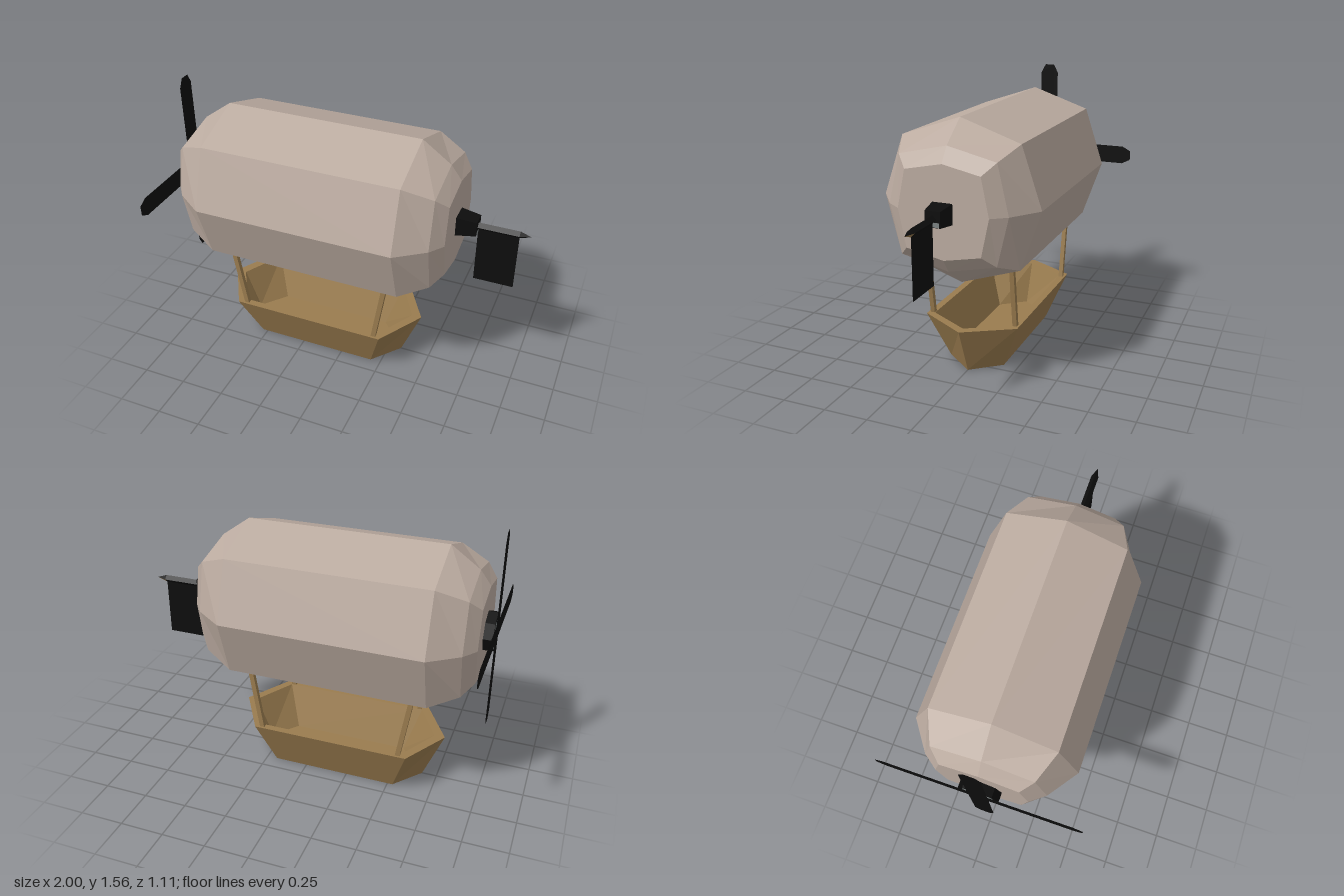
import * as THREE from 'three';

const mat = (name, color, side = THREE.FrontSide) => {
  const m = new THREE.MeshStandardMaterial({ color, flatShading: true, side });
  m.name = name;
  return m;
};

// Joins rings of points with quads and closes both ends
function loft(rings) {
  const pos = [];
  const tri = (a, b, c) => pos.push(...a, ...b, ...c);
  const n = rings[0].length;
  for (let k = 0; k < rings.length - 1; k++) {
    const A = rings[k], B = rings[k + 1];
    for (let i = 0; i < n; i++) {
      const j = (i + 1) % n;
      tri(A[i], A[j], B[j]);
      tri(A[i], B[j], B[i]);
    }
  }
  const S = rings[0], E = rings[rings.length - 1];
  for (let i = 1; i < n - 1; i++) {
    tri(S[0], S[i + 1], S[i]);
    tri(E[0], E[i], E[i + 1]);
  }
  const g = new THREE.BufferGeometry();
  g.setAttribute('position', new THREE.Float32BufferAttribute(pos, 3));
  g.computeVertexNormals();
  return g;
}

// Eight-sided ring round the long axis: a on the axes, d on the diagonals
const hullRing = (x, a, d) =>
  [[a, 0], [d, d], [0, a], [-d, d], [-a, 0], [-d, -d], [0, -a], [d, -d]].map(([y, z]) => [x, 1 + y, z]);

const squareRing = (x, h) => [[h, -h], [h, h], [-h, h], [-h, -h]].map(([y, z]) => [x, 1 + y, z]);

// Six-sided boat ring: pointed ends and straight sides
const boatRing = (y, back, backSide, frontSide, front, w) => [
  [front, y, 0], [frontSide, y, -w], [backSide, y, -w],
  [back, y, 0], [backSide, y, w], [frontSide, y, w],
];

export function createModel() {
  const model = new THREE.Group();
  const canvas = mat('canvas', 0xbbaba0);
  const wood = mat('wood', 0x9a7c4f);
  const black = mat('black', 0x0d0d0d);
  const blackSheet = mat('blackSheet', 0x0d0d0d, THREE.DoubleSide);
  const metal = mat('greyMetal', 0x7c8383);

  const add = (name, geo, material, parent = model) => {
    const m = new THREE.Mesh(geo, material);
    m.name = name;
    parent.add(m);
    return m;
  };

  // Gas envelope
  add('envelope', loft([
    hullRing(-0.945, 0.25, 0.207), hullRing(-0.885, 0.33, 0.268), hullRing(-0.725, 0.445, 0.332),
    hullRing(0.39, 0.445, 0.332), hullRing(0.55, 0.33, 0.268), hullRing(0.61, 0.25, 0.207),
  ]), canvas);

  // Hollow basket: outer wall, rim, inner wall, floor
  add('basket', loft([
    boatRing(0, -0.665, -0.53, 0.19, 0.325, 0.165),
    boatRing(0.28, -0.78, -0.62, 0.275, 0.44, 0.275),
    boatRing(0.28, -0.72, -0.59, 0.25, 0.385, 0.235),
    boatRing(0.04, -0.63, -0.51, 0.17, 0.29, 0.145),
  ]), wood);

  // Four slanted struts
  const struts = new THREE.Group();
  struts.name = 'struts';
  model.add(struts);
  for (const [x0, x1] of [[-0.57, -0.632], [0.235, 0.297]]) {
    for (const z of [-0.25, 0.25]) {
      const g = new THREE.BoxGeometry(0.027, 0.38, 0.025);
      const p = g.attributes.position;
      for (let i = 0; i < p.count; i++) {
        const top = p.getY(i) > 0;
        p.setXYZ(i, p.getX(i) + (top ? x1 : x0), top ? 0.65 : 0.27, p.getZ(i) + z);
      }
      g.computeVertexNormals();
      add('strut', g, wood, struts);
    }
  }

  // Propeller: hub, grey end plate and four flat blades
  const propeller = new THREE.Group();
  propeller.name = 'propeller';
  propeller.position.y = 1;
  model.add(propeller);
  const hub = new THREE.CylinderGeometry(0.11, 0.11, 0.052, 8);
  hub.rotateZ(Math.PI / 2);
  add('hub', hub, black, propeller).position.x = -0.97;
  const plate = new THREE.CircleGeometry(0.1, 8);
  plate.rotateY(-Math.PI / 2);
  add('hubPlate', plate, metal, propeller).position.x = -0.9975;
  const outline = new THREE.Shape([
    [-0.055, 0], [0.055, 0], [0.055, 0.505], [0.028, 0.555], [-0.028, 0.555], [-0.055, 0.505],
  ].map(([x, y]) => new THREE.Vector2(x, y)));
  for (let i = 0; i < 4; i++) {
    const g = new THREE.ShapeGeometry(outline);
    g.rotateY(-Math.PI / 2);
    g.rotateX(i * Math.PI / 2);
    add('blade', g, blackSheet, propeller).position.x = -1;
  }

  // Tail: tapered mount, rod, pointed tip and flat rudder
  add('tailMount', loft([squareRing(0.6, 0.056), squareRing(0.72, 0.042)]), black);
  add('mountPlate', new THREE.PlaneGeometry(0.07, 0.025).rotateY(Math.PI / 2), metal).position.set(0.7215, 0.973, 0);
  const rod = new THREE.CylinderGeometry(0.021, 0.021, 0.23, 4);
  rod.rotateZ(-Math.PI / 2);
  add('tailRod', rod, black).position.set(0.827, 1, 0);
  const tip = (name, segs, start, material) => {
    const g = new THREE.ConeGeometry(0.021, 0.058, segs, 1, true, start, segs * Math.PI / 2);
    g.rotateZ(-Math.PI / 2);
    add(name, g, material).position.set(0.971, 1, 0);
  };
  tip('rodTip', 3, Math.PI, black);
  tip('rodTipFacet', 1, Math.PI / 2, wood);
  add('rudder', new THREE.PlaneGeometry(0.22, 0.355), blackSheet).position.set(0.83, 0.833, 0);

  return model;
}
